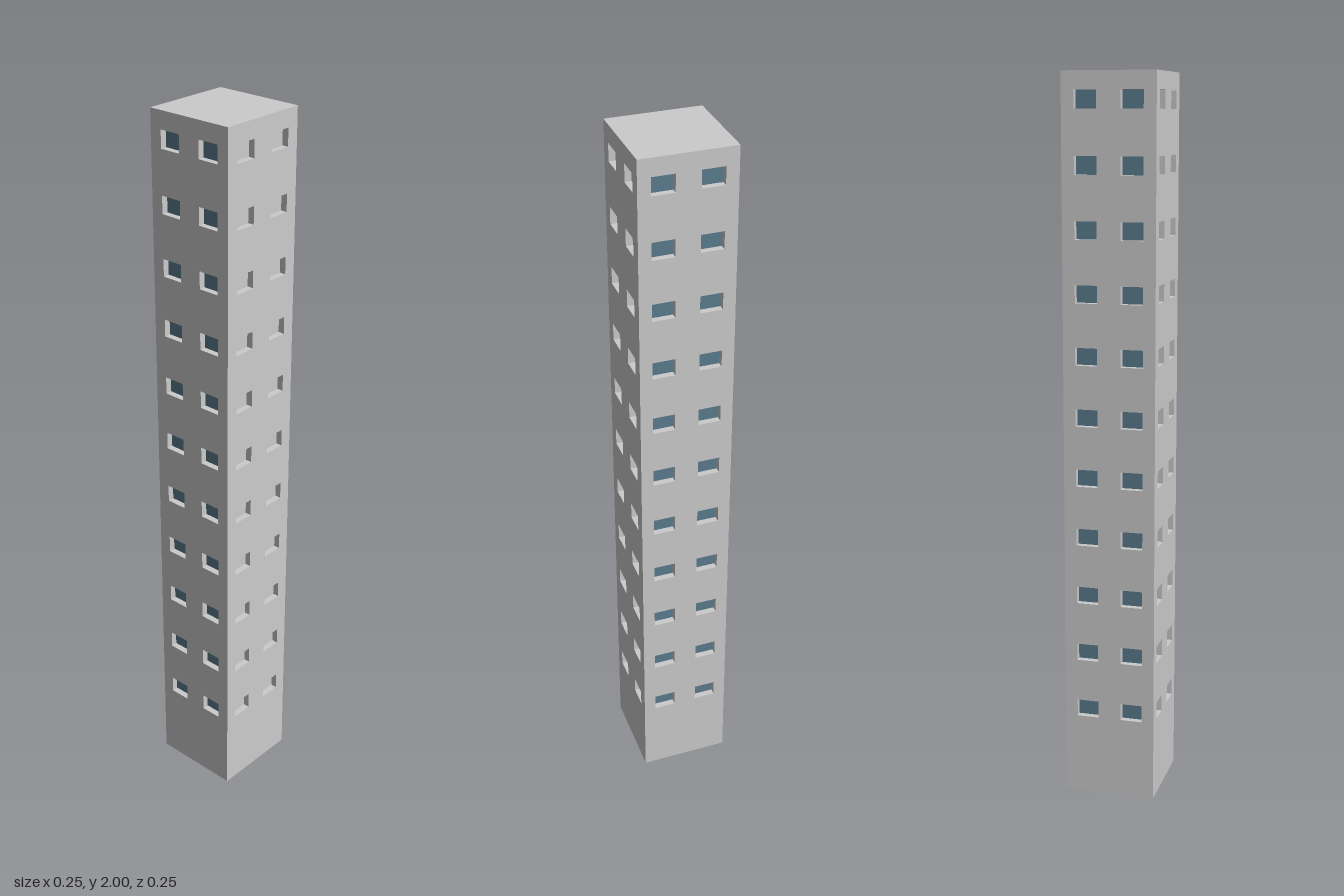
import * as THREE from 'three';
import { mergeGeometries } from 'three/addons/utils/BufferGeometryUtils.js';

const HEIGHT = 2, HALF = 0.1275;
const FLOORS = 11, FIRST = 0.252, STEP = 0.1676;
const WIN_W = 0.061, WIN_H = 0.048, WIN_X = 0.063, DEPTH = 0.018;

const grey = new THREE.MeshStandardMaterial({ color: 0xcccccc, side: THREE.DoubleSide, flatShading: true });
const glass = new THREE.MeshStandardMaterial({ color: 0x5b7d8e, side: THREE.DoubleSide, flatShading: true });

// centres of all windows on one facade
function windowCentres() {
  const centres = [];
  for (let i = 0; i < FLOORS; i++) {
    for (const side of [-1, 1]) centres.push([side * WIN_X, FIRST + i * STEP]);
  }
  return centres;
}

function rectangle(target, x0, y0, x1, y1) {
  target.moveTo(x0, y0).lineTo(x1, y0).lineTo(x1, y1).lineTo(x0, y1).closePath();
  return target;
}

// four sides of a window recess, open at front and back
function recessSides() {
  const box = new THREE.BoxGeometry(WIN_W, WIN_H, DEPTH);
  box.setIndex(Array.from(box.index.array).slice(0, 24));
  box.clearGroups();
  return box;
}

// one facade: pierced wall, recess sides and panes, facing +z
function makeFacade(name, paneMaterial) {
  const facade = new THREE.Group();
  facade.name = name;
  const shape = rectangle(new THREE.Shape(), -HALF, 0, HALF, HEIGHT);
  const sides = [], panes = [];
  for (const [x, y] of windowCentres()) {
    shape.holes.push(rectangle(new THREE.Path(), x - WIN_W / 2, y - WIN_H / 2, x + WIN_W / 2, y + WIN_H / 2));
    sides.push(recessSides().translate(x, y, HALF - DEPTH / 2));
    panes.push(new THREE.PlaneGeometry(WIN_W, WIN_H).translate(x, y, HALF - DEPTH));
  }
  const add = (part, geometry, material) => {
    const mesh = new THREE.Mesh(geometry, material);
    mesh.name = part;
    facade.add(mesh);
  };
  add('wall', new THREE.ShapeGeometry(shape).translate(0, 0, HALF), grey);
  add('windowRecesses', mergeGeometries(sides), grey);
  add('windowPanes', mergeGeometries(panes), paneMaterial);
  return facade;
}

export function createModel() {
  const tower = new THREE.Group();
  tower.name = 'towerBlock';

  // four facades turned about the tower axis; the left one has plain panes
  const facades = [
    ['frontFacade', glass],
    ['leftFacade', grey],
    ['backFacade', glass],
    ['rightFacade', glass],
  ];
  facades.forEach(([name, paneMaterial], i) => {
    const facade = makeFacade(name, paneMaterial);
    facade.rotation.y = i * Math.PI / 2;
    tower.add(facade);
  });

  // flat roof; the base stays open
  const roof = new THREE.Mesh(new THREE.PlaneGeometry(2 * HALF, 2 * HALF).rotateX(-Math.PI / 2), grey);
  roof.name = 'roof';
  roof.position.y = HEIGHT;
  tower.add(roof);

  return tower;
}
